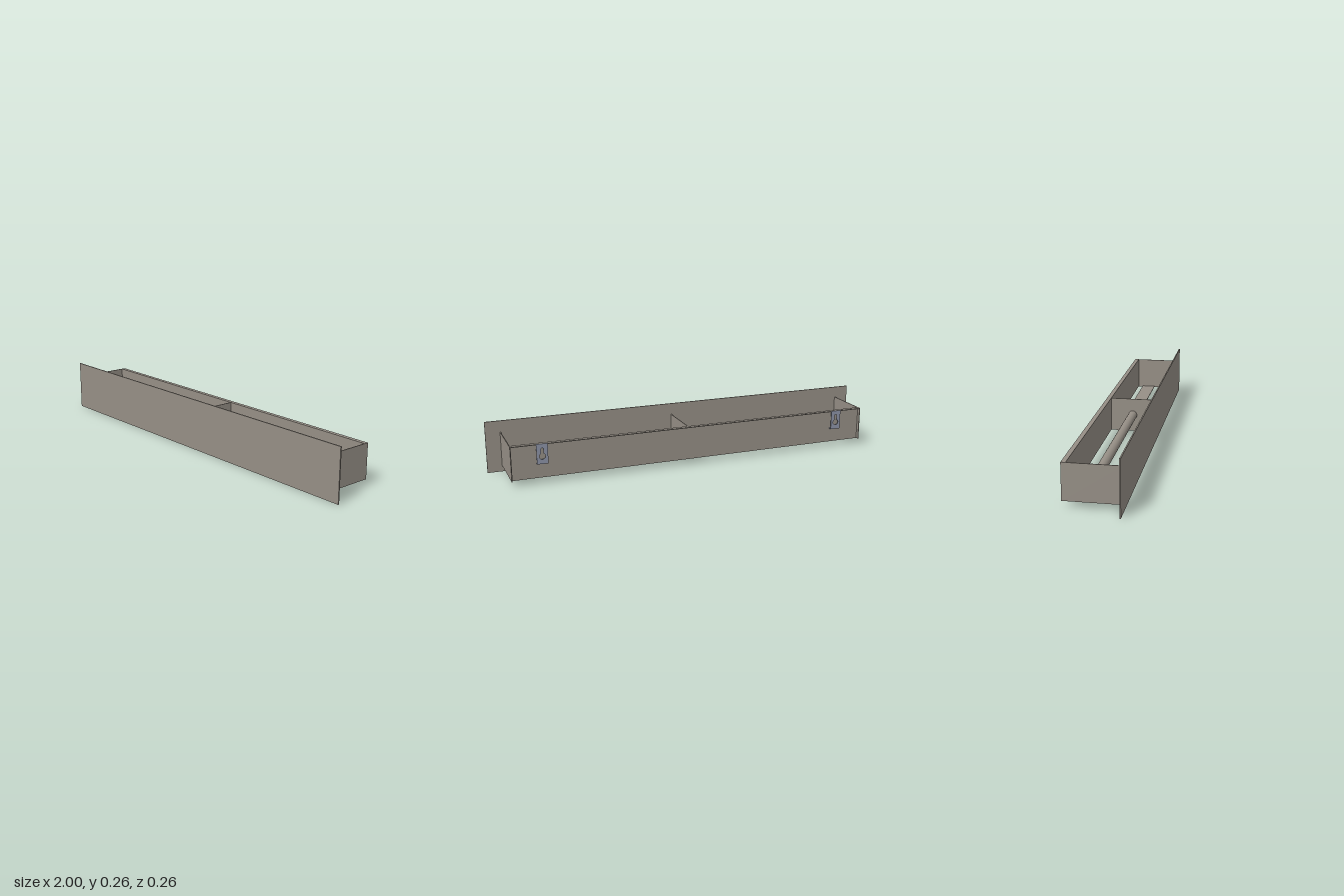
import * as THREE from 'three';

const panelMat = new THREE.MeshStandardMaterial({ color: 0x968f86 });
const metalMat = new THREE.MeshStandardMaterial({ color: 0x8d94a8 });

// Box given by its min and max corners
function board(name, [x0, y0, z0], [x1, y1, z1], mat = panelMat) {
  const mesh = new THREE.Mesh(new THREE.BoxGeometry(x1 - x0, y1 - y0, z1 - z0), mat);
  mesh.name = name;
  mesh.position.set((x0 + x1) / 2, (y0 + y1) / 2, (z0 + z1) / 2);
  return mesh;
}

// Wall hanger: plate with a keyhole and a lip folded back to the panel
function hanger(x) {
  const group = new THREE.Group();
  group.name = 'keyholeHanger';
  const w = 0.027, h = 0.098, t = 0.003;
  const plate = new THREE.Shape();
  plate.moveTo(-w, 0).lineTo(w, 0).lineTo(w, h).lineTo(-w, h).closePath();
  const hole = new THREE.Path();
  hole.moveTo(-0.006, 0.072);
  hole.lineTo(-0.006, 0.05);
  hole.absarc(0, 0.037, 0.0145, Math.PI * 0.64, Math.PI * 2.36, false);
  hole.lineTo(0.006, 0.072);
  hole.absarc(0, 0.072, 0.006, 0, Math.PI, false);
  plate.holes.push(hole);
  const face = new THREE.Mesh(
    new THREE.ExtrudeGeometry(plate, { depth: t, bevelEnabled: false, curveSegments: 10 }), metalMat);
  face.name = 'hangerPlate';
  group.add(face, board('hangerLip', [-w, 0, t], [w, t, 0.018], metalMat));
  group.position.set(x, 0.102, -0.132);
  return group;
}

export function createModel() {
  const model = new THREE.Group();
  model.name = 'wallShelfBox';
  const X = 0.928, bottom = 0.03, top = 0.2, back = -0.1315, front = 0.126, t = 0.004;

  // Wide front panel, overhanging the frame on every side
  model.add(board('frontPanel', [-1, 0, front], [1, 0.257, 0.132]));

  // Frame: two ends, divider, recessed back with a flange along its top
  for (const s of [-1, 1]) {
    const a = s * X, b = s * (X - t);
    model.add(board('endPanel', [Math.min(a, b), bottom, back], [Math.max(a, b), top, front]));
  }
  model.add(board('divider', [0.046, bottom, -0.112], [0.05, top, front]));
  model.add(board('backPanel', [-X + t, bottom, -0.114], [X - t, top - t, -0.11]));
  model.add(board('topFlange', [-X + t, top - t, back], [X - t, top, -0.11]));

  // Two floor slats in the left compartment
  for (const [z0, z1] of [[-0.084, -0.012], [0.02, 0.092]])
    model.add(board('floorSlat', [0.05, bottom + 0.001, z0], [X - t, bottom + 0.005, z1]));

  // Round rail in the right compartment
  const length = 0.046 + X - t;
  const rail = new THREE.Mesh(new THREE.CylinderGeometry(0.022, 0.022, length, 32), panelMat);
  rail.name = 'hangingRail';
  rail.rotation.z = Math.PI / 2;
  rail.position.set(0.046 - length / 2, 0.115, 0.002);
  model.add(rail);

  // Wall hangers
  for (const s of [-1, 1]) model.add(hanger(s * 0.78));
  return model;
}
